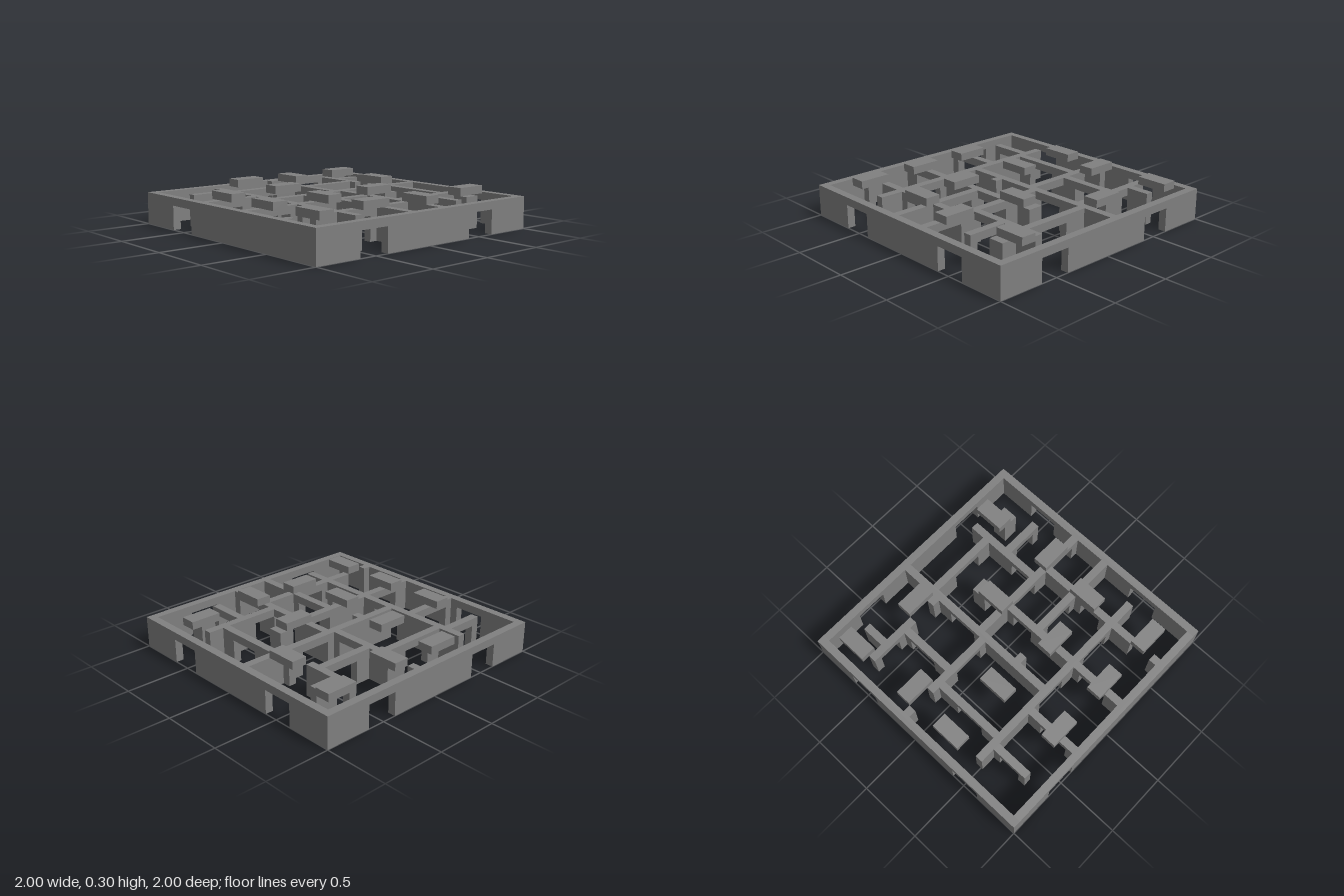
import * as THREE from 'three';

// The plan lies on a 33 x 33 grid; heights use the same unit.
const U = 2 / 33, WALL_H = 4, DOOR_H = 3;

export function createModel() {
  const model = new THREE.Group();
  model.name = 'floorPlan';
  const grey = new THREE.MeshStandardMaterial({ color: 0x808080 });
  grey.name = 'wallGrey';

  const add = (geometry, name, parent) => {
    const mesh = new THREE.Mesh(geometry, grey);
    mesh.name = name;
    parent.add(mesh);
    return mesh;
  };
  const group = (name) => {
    const g = new THREE.Group();
    g.name = name;
    model.add(g);
    return g;
  };

  // One-cell-thick upright wall, its outline notched by doorways [from, to].
  const wall = (axis, line, from, to, doors, name, parent) => {
    const s = new THREE.Shape();
    s.moveTo(from * U, 0);
    for (const [a, b] of doors) {
      s.lineTo(a * U, 0);
      s.lineTo(a * U, DOOR_H * U);
      s.lineTo(b * U, DOOR_H * U);
      s.lineTo(b * U, 0);
    }
    s.lineTo(to * U, 0);
    s.lineTo(to * U, WALL_H * U);
    s.lineTo(from * U, WALL_H * U);
    const g = new THREE.ExtrudeGeometry(s, { depth: U, bevelEnabled: false });
    if (axis === 'x') g.translate(-1, 0, -1 + line * U);
    else g.rotateY(-Math.PI / 2).translate(-1 + (line + 1) * U, 0, -1);
    add(g, name, parent);
  };

  const block = (x, z, w, d, y, h, name, parent) => {
    const mesh = add(new THREE.BoxGeometry(w * U, h * U, d * U), name, parent);
    mesh.position.set(-1 + (x + w / 2) * U, (y + h / 2) * U, -1 + (z + d / 2) * U);
  };

  // Outer walls with their entrances
  const outer = group('outerWalls');
  const pair = [[6, 10], [23, 27]];
  wall('x', 0, 0, 33, pair, 'backWall', outer);
  wall('x', 32, 0, 33, pair, 'frontWall', outer);
  wall('z', 32, 1, 32, pair, 'leftWall', outer);
  wall('z', 0, 1, 32, [[6, 10]], 'rightWall', outer);

  // Partitions running across: line, from, to, doorways
  const inner = group('innerWalls');
  [
    [5, 3, 8, [[4, 7]]],
    [5, 27, 30, []],
    [6, 9, 18, [[11, 15]]],
    [8, 19, 26, [[21, 25]]],
    [11, 1, 8, [[2, 6]]],
    [14, 9, 32, [[20, 24]]],
    [19, 1, 8, [[3, 7]]],
    [19, 9, 19, [[15, 18]]],
    [24, 20, 30, [[20, 23]]],
    [26, 1, 2, []],
    [26, 5, 8, []],
    [26, 9, 19, [[10, 13]]],
  ].forEach(([line, a, b, doors]) => wall('x', line, a, b, doors, 'crossPartition', inner));

  // Partitions running front to back
  [
    [8, 3, 30, [[13, 17], [21, 25]]],
    [13, 15, 16, []],
    [14, 20, 32, [[21, 25]]],
    [18, 1, 2, []],
    [18, 5, 14, [[9, 13]]],
    [19, 15, 32, [[20, 24], [27, 31]]],
    [24, 25, 30, [[26, 29]]],
    [26, 3, 10, [[4, 7]]],
    [26, 13, 14, []],
    [27, 15, 24, [[18, 22]]],
  ].forEach(([line, a, b, doors]) => wall('z', line, a, b, doors, 'longPartition', inner));

  // Square pillars
  const pillars = group('pillars');
  block(22, 18, 2, 2, 0, WALL_H, 'pillar', pillars);
  block(27, 27, 2, 2, 0, WALL_H, 'pillar', pillars);

  // Raised slabs at wall-top level: x, z and whether the long side runs along x
  const slabs = group('raisedSlabs');
  [
    [11, 2, 1], [19, 2, 0], [27, 2, 1],
    [3, 10, 0], [11, 10, 1], [27, 10, 0],
    [3, 18, 0], [11, 18, 0], [19, 18, 1],
    [3, 26, 0], [11, 26, 1], [19, 26, 0], [27, 26, 1],
  ].forEach(([x, z, wide]) =>
    block(x, z, wide ? 4 : 2, wide ? 2 : 4, WALL_H, 1, 'raisedSlab', slabs));

  return model;
}
